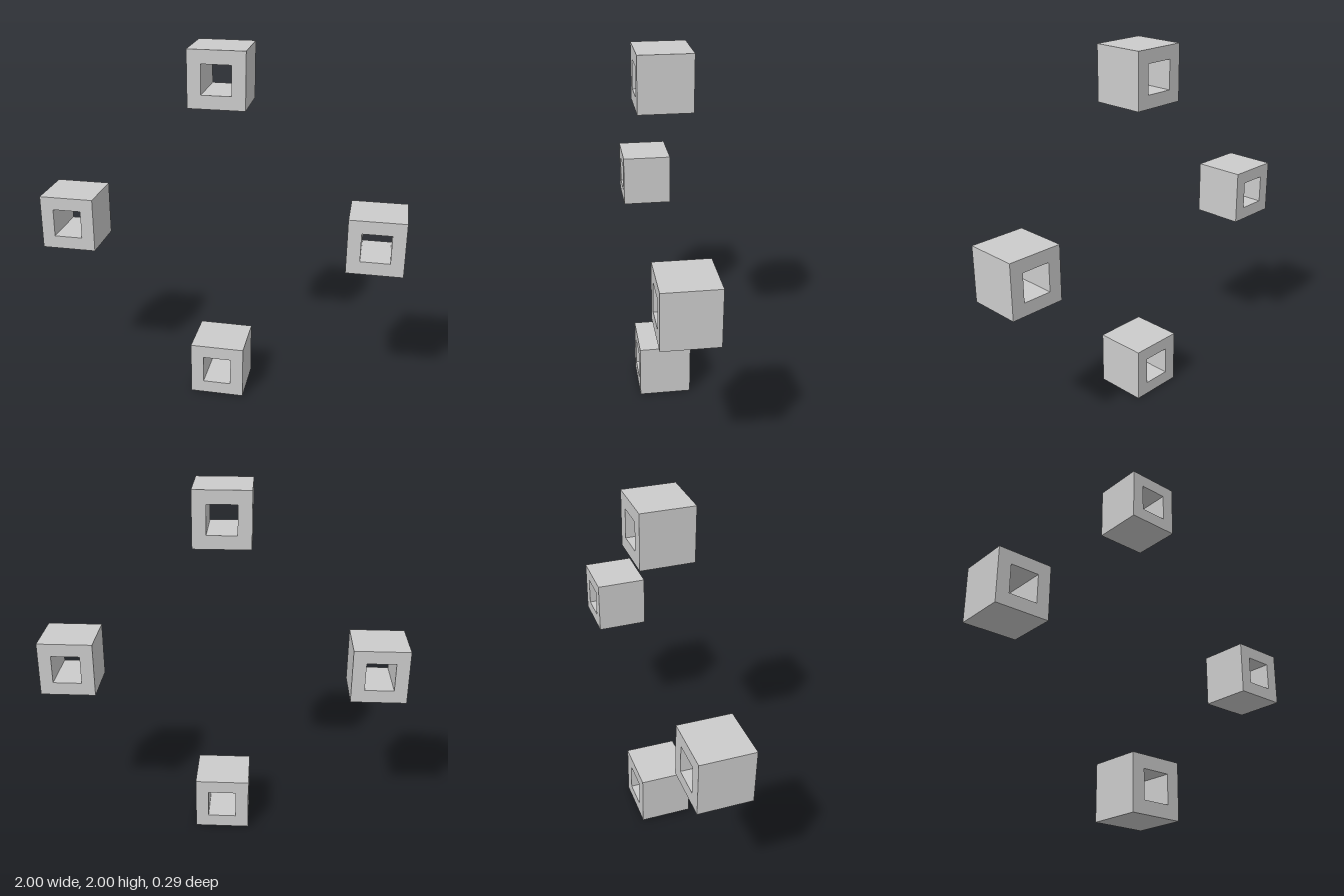
import * as THREE from 'three';

const SIZE = 0.303, HOLE = 0.158, DEPTH = 0.29;

// Square outline, added to a Shape or Path
function square(path, size) {
  const h = size / 2;
  path.moveTo(-h, -h);
  path.lineTo(h, -h);
  path.lineTo(h, h);
  path.lineTo(-h, h);
  path.closePath();
  return path;
}

export function createModel() {
  const group = new THREE.Group();
  const material = new THREE.MeshStandardMaterial({ color: 0xcccccc, flatShading: true });

  // Cube with a square tunnel running front to back
  const shape = square(new THREE.Shape(), SIZE);
  shape.holes.push(square(new THREE.Path(), HOLE));
  const geometry = new THREE.ExtrudeGeometry(shape, { depth: DEPTH, bevelEnabled: false });
  geometry.translate(0, 0, -DEPTH / 2);

  // Four cubes in a diamond layout
  const reach = 1 - SIZE / 2;
  const places = {
    topCube: [0, reach],
    bottomCube: [0, -reach],
    leftCube: [reach, 0],
    rightCube: [-reach, 0],
  };
  for (const [name, [x, y]] of Object.entries(places)) {
    const cube = new THREE.Mesh(geometry, material);
    cube.name = name;
    cube.position.set(x, 1 + y, 0);
    group.add(cube);
  }
  return group;
}
